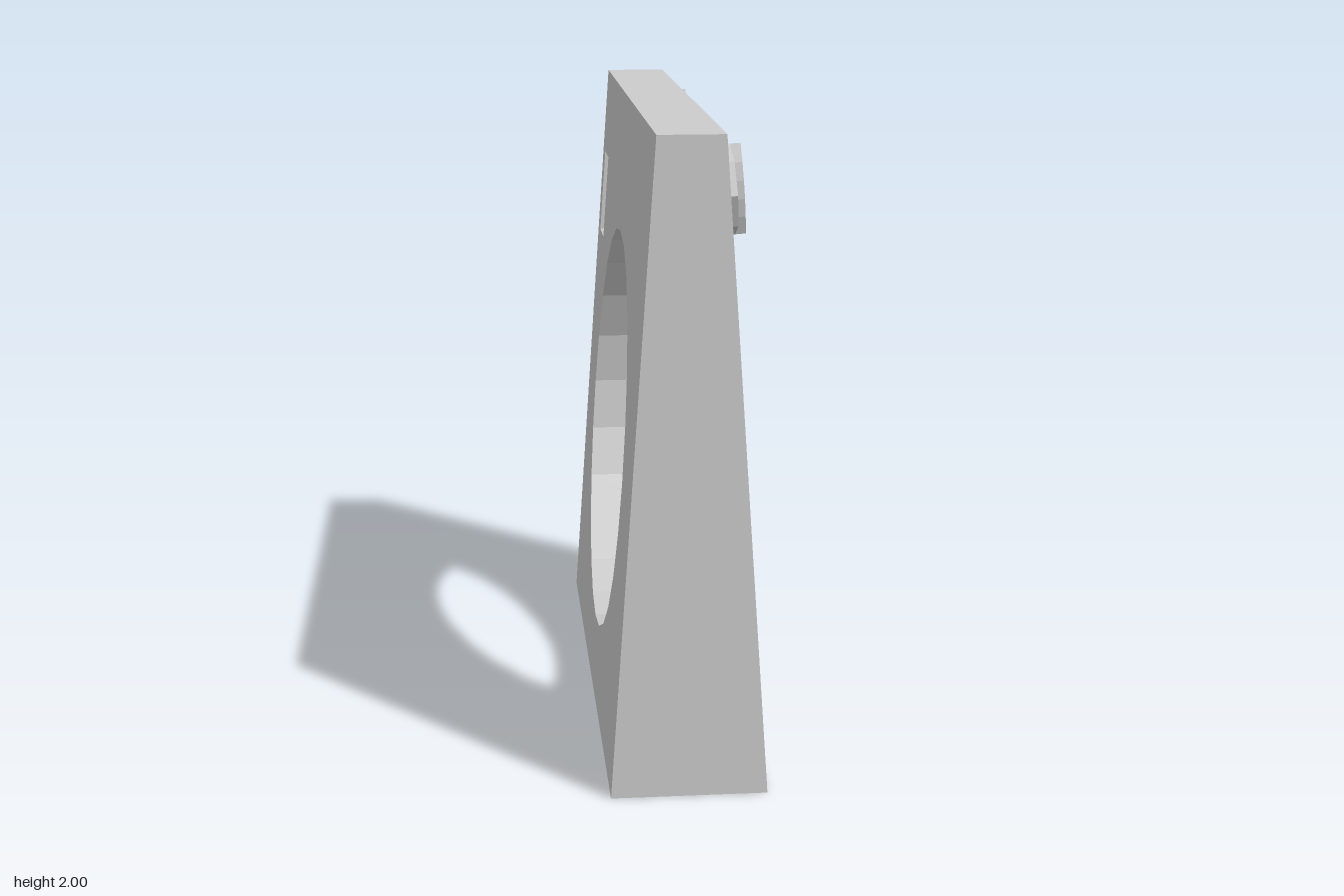
import * as THREE from 'three';

const material = new THREE.MeshStandardMaterial({ color: 0xcccccc, flatShading: true });
const TOP = 0.1, BOTTOM = 0.238, HEIGHT = 2;
const TILT = Math.atan((BOTTOM - TOP) / HEIGHT);
const POCKET_DEPTH = 0.035;

// Half thickness of the tapered slab at height y
const half = (y) => BOTTOM + (TOP - BOTTOM) * y / HEIGHT;
const v2 = (x, y) => new THREE.Vector2(x, y);

function addMesh(parent, name, geometry) {
  const mesh = new THREE.Mesh(geometry, material);
  mesh.name = name;
  parent.add(mesh);
  return mesh;
}

// Flat panel in the side plane (u = -z, v = y), placed at x = xAt(y)
function panel(outline, holes, xAt, flip) {
  const shape = new THREE.Shape(outline);
  shape.holes = holes.map((h) => new THREE.Path(h));
  const g = new THREE.ShapeGeometry(shape).rotateY(Math.PI / 2);
  const p = g.attributes.position;
  for (let i = 0; i < p.count; i++) p.setX(i, xAt(p.getY(i)));
  if (flip) g.setIndex([...g.index.array].reverse());
  const flat = g.toNonIndexed();
  flat.computeVertexNormals();
  return flat;
}

// Wall following a closed outline, from x = low(y) to x = high(y)
function wall(points, low, high) {
  const pos = [];
  const put = (p, f) => pos.push(f(p.y), p.y, -p.x);
  points.forEach((p, i) => {
    const q = points[(i + 1) % points.length];
    put(p, low); put(q, low); put(q, high);
    put(p, low); put(q, high); put(p, high);
  });
  const g = new THREE.BufferGeometry();
  g.setAttribute('position', new THREE.Float32BufferAttribute(pos, 3));
  g.computeVertexNormals();
  return g;
}

function createKnob() {
  const knob = new THREE.Group();
  // Octagonal disc
  addMesh(knob, 'knobDisc',
    new THREE.CylinderGeometry(0.134, 0.134, 0.032, 8).rotateZ(-Math.PI / 2).translate(0.014, 0, 0));
  // Lens-shaped finger grip
  const lens = [];
  const n = 5;
  for (const s of [1, -1]) {
    for (let i = 0; i < n; i++) {
      const t = -1 + 2 * i / n;
      lens.push(v2(s * 0.03 * (1 - t * t), s * 0.134 * t));
    }
  }
  addMesh(knob, 'knobGrip',
    new THREE.ExtrudeGeometry(new THREE.Shape(lens), { depth: 0.035, bevelEnabled: false })
      .rotateY(Math.PI / 2).translate(0.027, 0, 0));
  return knob;
}

export function createModel() {
  const model = new THREE.Group();
  model.name = 'slabWithOpening';

  // Outlines: square slab, round opening and small pocket
  const square = [v2(-1, 0), v2(1, 0), v2(1, HEIGHT), v2(-1, HEIGHT)];
  const circle = [];
  for (let i = 0; i < 24; i++) {
    const a = -i / 24 * Math.PI * 2;
    circle.push(v2(0.67 * Math.cos(a), 0.895 + 0.67 * Math.sin(a)));
  }
  const pocket = [v2(0.735, 1.42), v2(0.735, 1.71), v2(0.907, 1.71), v2(0.907, 1.42)];

  const left = (y) => half(y);
  const right = (y) => -half(y);
  const floor = (y) => -half(y) + POCKET_DEPTH;

  // Tapered slab
  const slab = new THREE.Group();
  slab.name = 'slab';
  model.add(slab);
  addMesh(slab, 'leftFace', panel(square, [circle], left, false));
  addMesh(slab, 'rightFace', panel(square, [circle, pocket], right, true));
  addMesh(slab, 'outerEdges', wall(square, right, left));
  addMesh(slab, 'openingWall', wall(circle, right, left));
  addMesh(slab, 'pocketWall', wall(pocket, right, floor));
  addMesh(slab, 'pocketFloor', panel([...pocket].reverse(), [], floor, true));

  // Two knobs on the upper corners of the left face
  for (const [name, z] of [['frontKnob', 0.78], ['backKnob', -0.795]]) {
    const knob = createKnob();
    knob.name = name;
    knob.position.set(half(1.81), 1.81, z);
    knob.rotation.z = TILT;
    model.add(knob);
  }
  return model;
}
